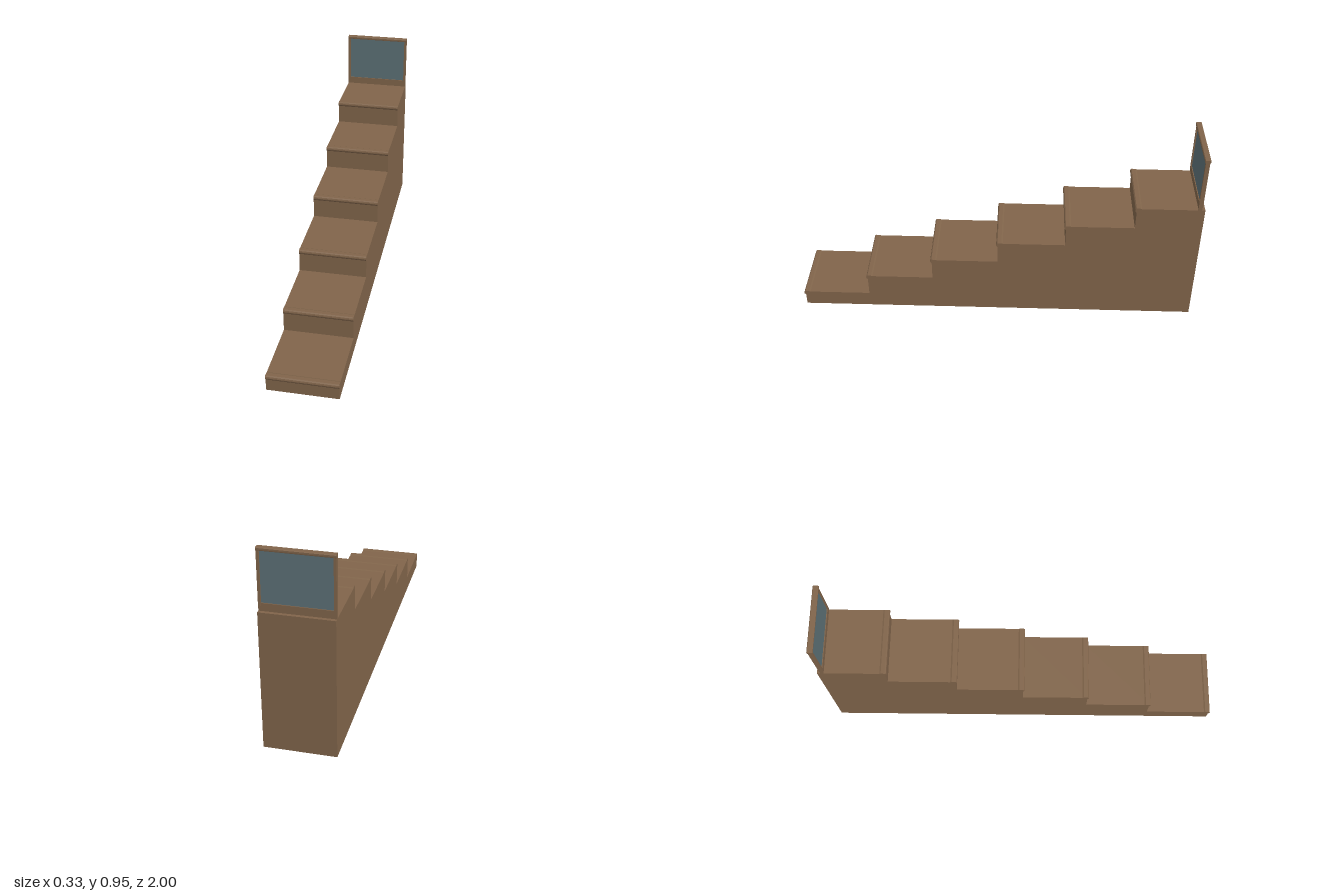
import * as THREE from 'three';

const WIDTH = 0.333, STEPS = 6, RUN = 1 / 3, RISE = 0.1167, FIRST = 0.083;

// Extrude a (z, y) profile across the given width, centred on x
function acrossX(points, width) {
  const shape = new THREE.Shape(points.map(([z, y]) => new THREE.Vector2(z, y)));
  const geo = new THREE.ExtrudeGeometry(shape, { depth: width, bevelEnabled: false });
  geo.rotateY(-Math.PI / 2);
  geo.translate(width / 2, 0, 0);
  return geo;
}

export function createModel() {
  const wood = new THREE.MeshStandardMaterial({ color: 0x80644a });
  wood.name = 'wood';
  const glass = new THREE.MeshStandardMaterial({ color: 0x5c7076 });
  glass.name = 'blue grey glass';

  const model = new THREE.Group();
  model.name = 'staircase';
  const add = (parent, name, geo, mat, x = 0, y = 0, z = 0) => {
    const mesh = new THREE.Mesh(geo, mat);
    mesh.name = name;
    mesh.position.set(x, y, z);
    parent.add(mesh);
  };

  // Solid stepped body, with treads just below the top of each nosing
  const body = [[-1, 0], [0.992, 0]];
  for (let i = 0; i < STEPS; i++) {
    const top = FIRST + i * RISE - 0.003;
    body.push([0.992 - i * RUN, top]);
    body.push([i < STEPS - 1 ? 0.992 - (i + 1) * RUN : -1, top]);
  }
  add(model, 'steppedBody', acrossX(body, WIDTH), wood);

  // Rounded nosing along the front of every tread
  const nosing = acrossX([
    [-0.033, -0.004], [-0.01, -0.023], [-0.006, -0.023], [-0.001, -0.016],
    [0, -0.011], [-0.002, -0.004], [-0.007, 0], [-0.026, 0], [-0.033, -0.003],
  ], WIDTH);
  for (let i = 0; i < STEPS; i++) {
    add(model, 'nosing' + (i + 1), nosing, wood, 0, FIRST + i * RISE, 1 - i * RUN);
  }

  // Framed glass guard at the top landing
  const guard = new THREE.Group();
  guard.name = 'guard';
  guard.position.z = -0.976;
  model.add(guard);
  add(guard, 'bottomRail', new THREE.BoxGeometry(WIDTH, 0.04, 0.016), wood, 0, 0.68, 0);
  for (const side of [-1, 1]) {
    add(guard, side > 0 ? 'leftPost' : 'rightPost',
      new THREE.BoxGeometry(0.012, 0.26, 0.02), wood, side * (WIDTH / 2 - 0.006), 0.81, 0);
  }
  add(guard, 'topRail', acrossX([
    [-0.013, 0.936], [0.013, 0.936], [0.014, 0.94], [0.014, 0.947],
    [0.011, 0.95], [-0.011, 0.95], [-0.014, 0.947], [-0.014, 0.94],
  ], WIDTH), wood);
  add(guard, 'glassPane', new THREE.BoxGeometry(0.312, 0.24, 0.008), glass, 0, 0.819, 0);
  return model;
}
